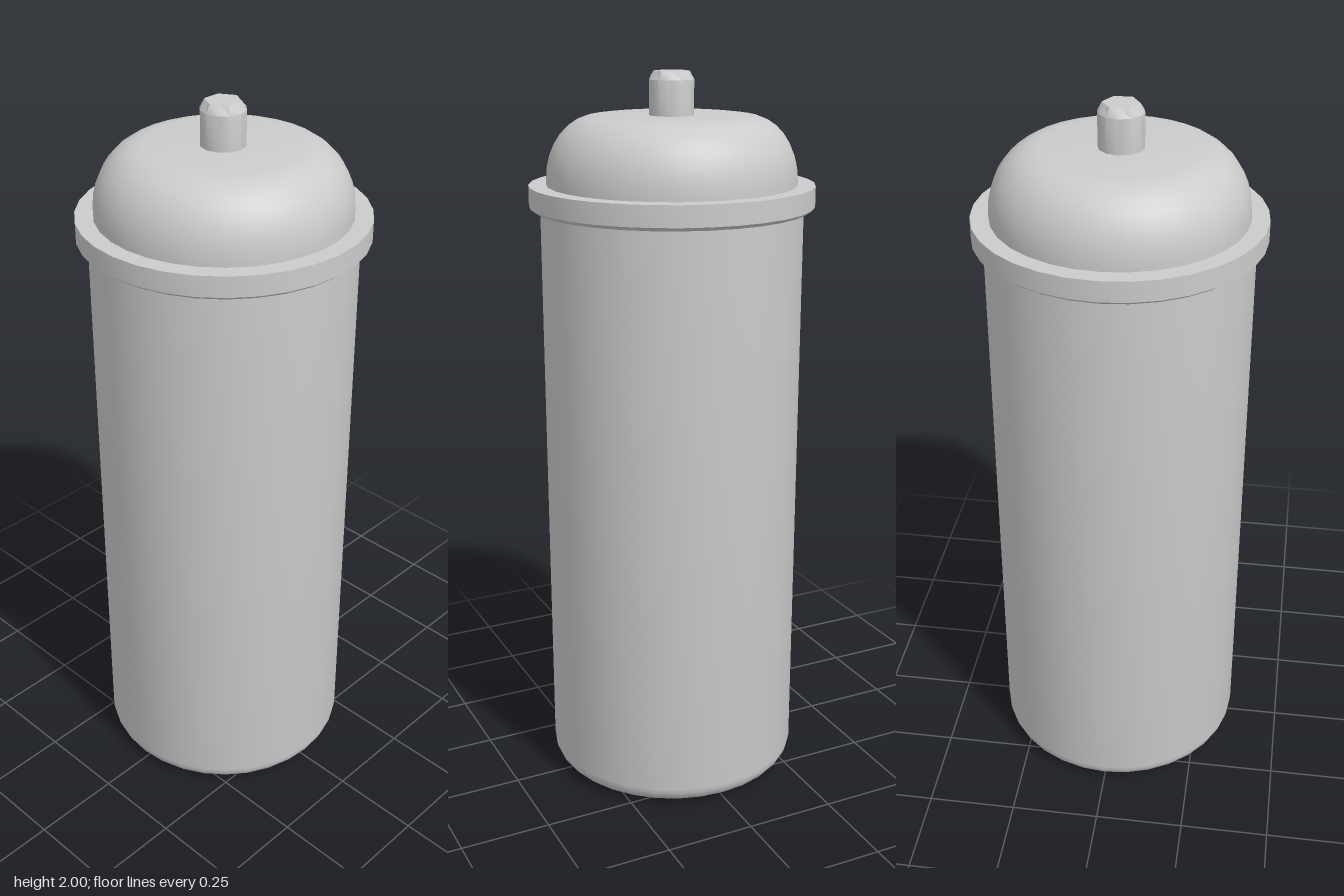
import * as THREE from 'three';
import { toCreasedNormals } from 'three/addons/utils/BufferGeometryUtils.js';

const material = new THREE.MeshStandardMaterial({ color: 0xcccccc });

function part(name, geometry) {
  const mesh = new THREE.Mesh(toCreasedNormals(geometry, 0.6), material);
  mesh.name = name;
  return mesh;
}

// Revolve [radius, height] pairs, listed from bottom to top
function turned(profile, sides) {
  return new THREE.LatheGeometry(profile.map(([r, y]) => new THREE.Vector2(r, y)), sides);
}

// Quarter ellipse from angle a to b, as profile points
function arc(cx, cy, rx, ry, a, b, steps) {
  return Array.from({ length: steps + 1 }, (_, i) => {
    const t = a + (b - a) * i / steps;
    return [cx + rx * Math.cos(t), cy + ry * Math.sin(t)];
  });
}

export function createModel() {
  const group = new THREE.Group();
  group.name = 'sprayCan';

  // Tall body with a rounded bottom edge
  group.add(part('body', turned([
    [0, 0.005],
    ...arc(0.295, 0.06, 0.06, 0.055, -Math.PI / 2, 0, 6),
    [0.355, 1.66],
  ], 32)));

  // Collar with a small bevel underneath
  group.add(part('collar', turned([
    [0.34, 1.64], [0.372, 1.64], [0.385, 1.65], [0.385, 1.706], [0.32, 1.706],
  ], 32)));

  // Domed shoulder with a flat top
  group.add(part('dome', turned([
    [0.337, 1.69],
    ...arc(0.205, 1.72, 0.132, 0.166, 0, Math.PI / 2, 8),
    [0, 1.886],
  ], 32)));

  // Twelve-sided nozzle whose chamfer closes to a hexagonal top
  const profile = [[0.06, 1.87], [0.06, 1.978], [0.048, 2], [0, 2]];
  const nozzle = turned(profile, 12);
  const pos = nozzle.attributes.position;
  for (let i = 0; i <= 12; i += 2) {
    const v = i * profile.length + 2;
    const k = Math.cos(Math.PI / 6);
    pos.setXYZ(v, pos.getX(v) * k, pos.getY(v), pos.getZ(v) * k);
  }
  const nozzleMesh = part('nozzle', nozzle);
  nozzleMesh.position.x = -0.003;
  group.add(nozzleMesh);

  return group;
}
